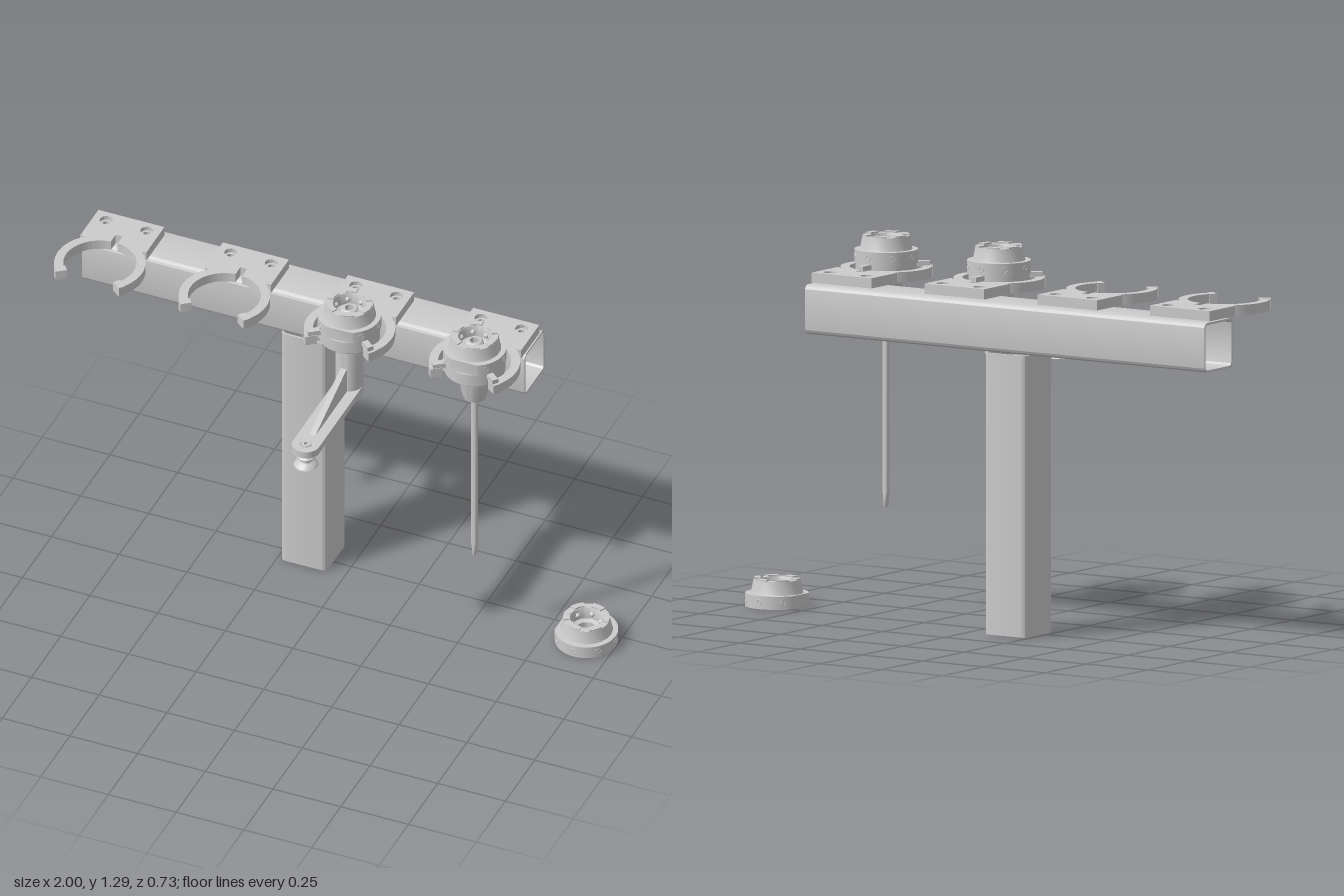
import * as THREE from 'three';
import { toCreasedNormals } from 'three/addons/utils/BufferGeometryUtils.js';

const material = new THREE.MeshStandardMaterial({ color: 0xcccccc, side: THREE.DoubleSide });
const RAD = Math.PI / 180;
const TOOL_Z = -0.055;   // axis of the docked tools
const DECK = 1.14;       // underside of the fork plates

function add(parent, name, geometry, x = 0, y = 0, z = 0) {
  const mesh = new THREE.Mesh(toCreasedNormals(geometry, 0.6), material);
  mesh.name = name;
  mesh.position.set(x, y, z);
  parent.add(mesh);
  return mesh;
}

function group(parent, name, x = 0, y = 0, z = 0) {
  const g = new THREE.Group();
  g.name = name;
  g.position.set(x, y, z);
  parent.add(g);
  return g;
}

const extrude = (shape, depth) =>
  new THREE.ExtrudeGeometry(shape, { depth, bevelEnabled: false, curveSegments: 24 });

// Plan outline (x, -z) raised upwards
const slab = (shape, height) => extrude(shape, height).rotateX(-Math.PI / 2);

const lathe = (points, segments = 48) =>
  new THREE.LatheGeometry(points.map(p => new THREE.Vector2(p[0], p[1])), segments);

const circle = (x, y, r) => new THREE.Path().absarc(x, y, r, 0, Math.PI * 2, true);

function roundedSquare(Type, half, r) {
  const s = new Type(), k = half - r;
  s.absarc(k, k, r, 0, 90 * RAD);
  s.absarc(-k, k, r, 90 * RAD, 180 * RAD);
  s.absarc(-k, -k, r, 180 * RAD, 270 * RAD);
  s.absarc(k, -k, r, 270 * RAD, 360 * RAD);
  s.closePath();
  return s;
}

// Hollow square section, extruded along z
function squareTube(length) {
  const s = roundedSquare(THREE.Shape, 0.085, 0.02);
  s.holes.push(roundedSquare(THREE.Path, 0.078, 0.013));
  return extrude(s, length);
}

// Mounting plate and open fork in one outline, screw holes of radius r
function forkShape(r) {
  const s = new THREE.Shape(), tip = -40 * RAD, out = 0.155, inn = 0.124;
  const join = Math.asin(0.115 / out), slot = Math.acos(0.0125 / inn);
  s.moveTo(-0.122, 0.27);
  s.lineTo(0.122, 0.27);
  s.lineTo(0.122, 0.115);
  s.absarc(0, 0, out, join, tip, true);
  s.absarc(0, 0, inn, tip, slot, false);
  s.lineTo(0.0125, 0.165);
  s.lineTo(-0.0125, 0.165);
  s.absarc(0, 0, inn, Math.PI - slot, Math.PI - tip, false);
  s.absarc(0, 0, out, Math.PI - tip, Math.PI - join, true);
  s.lineTo(-0.122, 0.115);
  s.closePath();
  for (const x of [-0.075, 0.075]) s.holes.push(circle(x, 0.228, r));
  return s;
}

function addFork(parent, x) {
  const g = group(parent, 'dockingFork', x, DECK, TOOL_Z);
  // Two layers give the screw holes their counterbore
  add(g, 'forkLower', slab(forkShape(0.013), 0.02));
  add(g, 'forkUpper', slab(forkShape(0.022), 0.015), 0, 0.02);
  for (const a of [-38, 218]) {
    const tip = add(g, 'forkTip', new THREE.BoxGeometry(0.04, 0.036, 0.026),
      Math.cos(a * RAD) * 0.138, 0.018, -Math.sin(a * RAD) * 0.138);
    tip.rotation.y = a * RAD;
  }
}

// Coupling ring: flat-sided base, tapered collar, side ports and rim lugs
function addCoupling(parent, x, y, z, turn) {
  const g = group(parent, 'couplingRing', x, y, z);
  g.rotation.y = turn;
  const flat = Math.acos(0.097 / 0.108);
  const base = new THREE.Shape();
  base.absarc(0, 0, 0.108, -Math.PI + flat, Math.PI - flat, false);
  base.closePath();
  base.holes.push(circle(0, 0, 0.034));
  add(g, 'couplingBase', slab(base, 0.045));
  add(g, 'couplingCollar', lathe([[0.09, 0.045], [0.088, 0.05], [0.08, 0.091], [0.056, 0.091],
    [0.05, 0.075], [0.05, 0.05], [0.034, 0.045]]));
  for (let i = 0; i < 6; i++) {
    // Rim lug
    const lug = new THREE.Shape();
    lug.absarc(0, 0, 0.079, 0, 36 * RAD, false);
    lug.absarc(0, 0, 0.058, 36 * RAD, 0, true);
    lug.closePath();
    add(g, 'rimLug', slab(lug, 0.005), 0, 0.091).rotation.y = i * 60 * RAD;
    // Locking ball around the collar bore
    const b = (i * 60 + 30) * RAD;
    add(g, 'lockingBall', new THREE.SphereGeometry(0.009, 12, 8),
      Math.cos(b) * 0.05, 0.07, Math.sin(b) * 0.05);
  }
  // Side ports, kept clear of the flat
  for (const a of [-135, -90, -45, 0, 45, 90, 135]) {
    const port = group(g, 'sidePort');
    port.rotation.y = a * RAD;
    add(port, 'portRim', new THREE.TorusGeometry(0.009, 0.002, 6, 16).rotateY(Math.PI / 2), 0.107, 0.024);
  }
}

// Tool-side half held by the fork, carrying the coupling ring
function addToolHead(parent, x) {
  const g = group(parent, 'toolHead', x, DECK, TOOL_Z);
  add(g, 'toolPlate', lathe([[0, 0], [0.1, 0], [0.104, 0.004], [0.104, 0.05], [0, 0.05]]));
  add(g, 'toolPlug', lathe([[0.031, 0.05], [0.031, 0.115], [0.024, 0.122], [0.016, 0.122],
    [0.016, 0.1], [0, 0.1]], 32));
  // Support pins resting on the key slot and the fork tips
  for (const a of [90, -38, 218]) {
    const r = a === 90 ? 0.125 : 0.118;
    const pin = add(g, 'supportPin', new THREE.BoxGeometry(0.06, 0.018, 0.022),
      Math.cos(a * RAD) * r, 0.043, -Math.sin(a * RAD) * r);
    pin.rotation.y = a * RAD;
  }
  addCoupling(g, 0, 0.05, 0, Math.PI / 2);
  return g;
}

function addScrewdriver(parent, x) {
  const g = group(parent, 'screwdriver', x, 0, TOOL_Z);
  add(g, 'driverCone', lathe([[0, 1.025], [0.039, 1.025], [0.043, 1.04], [0.058, 1.12], [0.06, DECK]]));
  add(g, 'driverShaft', new THREE.CylinderGeometry(0.012, 0.012, 0.63, 24), 0, 0.715);
  // Blade: the shaft end flattened towards its tip
  const blade = new THREE.CylinderGeometry(0.012, 0.012, 0.05, 24, 4);
  const p = blade.attributes.position;
  for (let i = 0; i < p.count; i++) {
    const t = (0.025 - p.getY(i)) / 0.05;
    p.setX(i, p.getX(i) * (1 - 0.65 * t));
  }
  add(g, 'driverBlade', blade, 0, 0.375);
}

function addSuctionArm(parent, x) {
  const g = group(parent, 'suctionArm', x);
  add(g, 'armColumn', new THREE.CylinderGeometry(0.048, 0.048, 0.225, 32), 0, 1.0275, TOOL_Z);
  const arm = new THREE.Shape();
  arm.absarc(0, -0.317, 0.048, Math.PI, 2 * Math.PI, false);
  arm.absarc(0, -TOOL_Z, 0.048, 0, Math.PI, false);
  arm.closePath();
  arm.holes.push(circle(0, -0.317, 0.02));
  add(g, 'armBeam', slab(arm, 0.027), 0, 0.914);
  // Triangular stiffening rib
  const rib = new THREE.Shape();
  rib.moveTo(-0.02, 0.935);
  rib.lineTo(0.265, 0.94);
  rib.lineTo(0, 1.035);
  rib.lineTo(-0.02, 1.035);
  rib.closePath();
  add(g, 'armRib', extrude(rib, 0.022).rotateY(-Math.PI / 2), 0.011);
  // Bellows cup hanging from its fitting
  add(g, 'suctionCup', lathe([[0, 0.863], [0.028, 0.855], [0.042, 0.855], [0.038, 0.862], [0.02, 0.872],
    [0.02, 0.878], [0.033, 0.888], [0.033, 0.893], [0.024, 0.9], [0.026, 0.906], [0.026, 0.914],
    [0.018, 0.914], [0.018, 0.943], [0.007, 0.943], [0.007, 0.925], [0, 0.925]], 32), 0, 0, 0.317);
}

export function createModel() {
  const model = new THREE.Group();
  model.name = 'toolRack';

  // Frame
  add(model, 'post', squareTube(0.965).rotateX(-Math.PI / 2), -0.152, 0, -0.275);
  add(model, 'crossBeam', squareTube(1.635).rotateY(Math.PI / 2), -0.97, 1.052, -0.275);

  // Docking stations
  const stations = [-0.845, -0.385, 0.077, 0.539];
  for (const x of stations) addFork(model, x);

  // Docked tools
  for (const x of stations.slice(2)) addToolHead(model, x);
  addSuctionArm(model, stations[2]);
  addScrewdriver(model, stations[3]);

  // Spare coupling on the floor
  addCoupling(model, 0.892, 0, -0.193, 0);
  return model;
}
